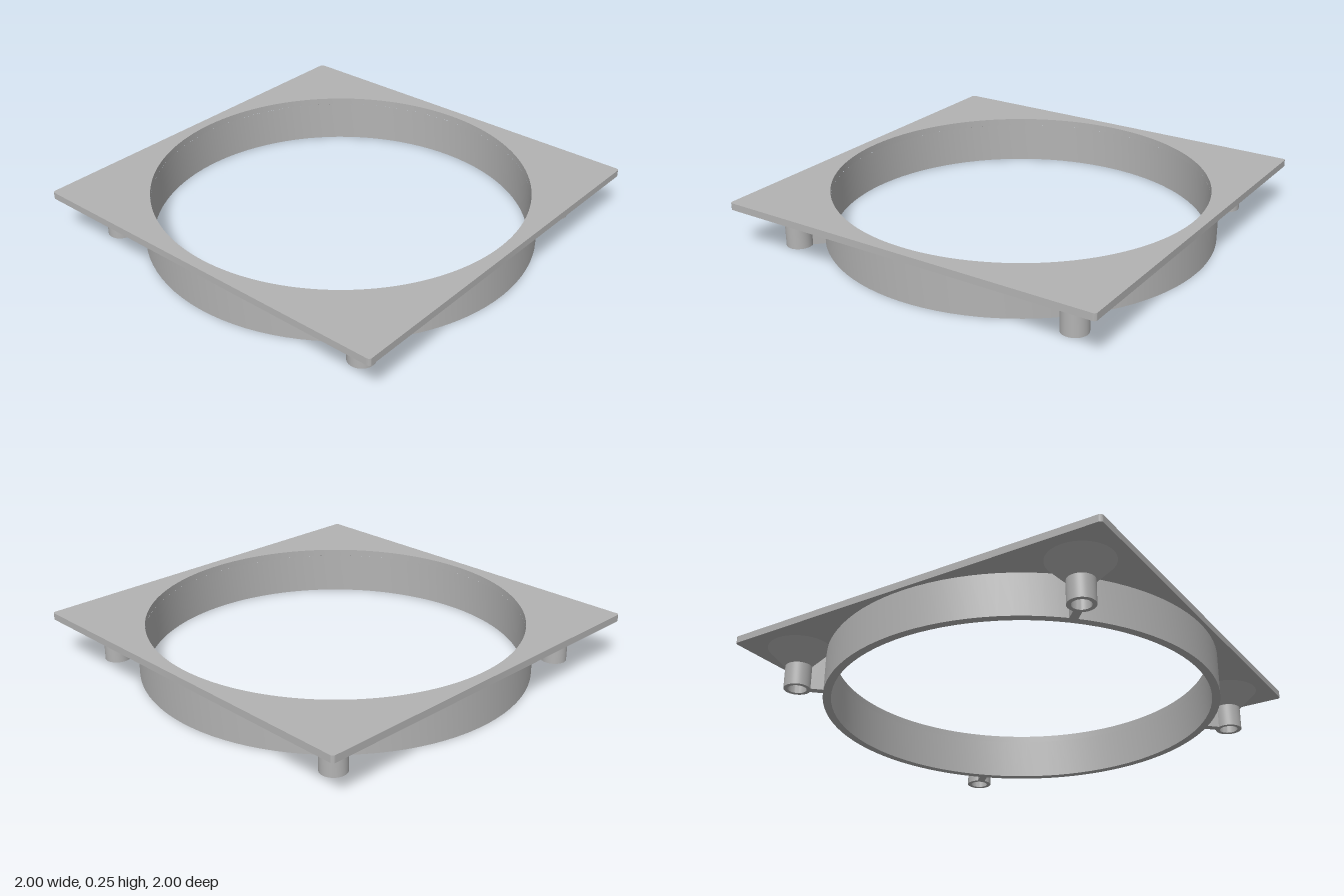
import * as THREE from 'three';
import { toCreasedNormals } from 'three/addons/utils/BufferGeometryUtils.js';

const PLATE_BOTTOM = 0.21, PLATE_TOP = 0.245;
const INNER = 0.94, OUTER = 0.98, POST = 0.78;

// Revolved profile with smooth walls and sharp rims
function turned(points, segments) {
  const profile = points.map(([r, y]) => new THREE.Vector2(r, y));
  return toCreasedNormals(new THREE.LatheGeometry(profile, segments), 0.5);
}

// Square with slightly rounded corners and a round opening
function plateGeometry() {
  const h = 1, r = 0.015, s = new THREE.Shape();
  s.absarc(h - r, h - r, r, 0, Math.PI / 2);
  s.absarc(-h + r, h - r, r, Math.PI / 2, Math.PI);
  s.absarc(-h + r, -h + r, r, Math.PI, Math.PI * 1.5);
  s.absarc(h - r, -h + r, r, Math.PI * 1.5, Math.PI * 2);
  s.closePath();
  const hole = new THREE.Path();
  hole.absarc(0, 0, INNER, 0, Math.PI * 2, true);
  s.holes.push(hole);
  const g = new THREE.ExtrudeGeometry(s, { depth: PLATE_TOP - PLATE_BOTTOM, bevelEnabled: false, curveSegments: 96 });
  g.rotateX(-Math.PI / 2).translate(0, PLATE_BOTTOM, 0);
  return toCreasedNormals(g, 0.5);
}

export function createModel() {
  const model = new THREE.Group();
  const grey = new THREE.MeshStandardMaterial({ color: 0xb3b3b3 });
  grey.name = 'grey';

  function add(parent, name, geometry) {
    const mesh = new THREE.Mesh(geometry, grey);
    mesh.name = name;
    parent.add(mesh);
    return mesh;
  }

  add(model, 'plate', plateGeometry());

  // Collar hanging under the opening
  add(model, 'collar', turned([
    [INNER, PLATE_BOTTOM], [INNER, 0], [OUTER, 0], [OUTER, PLATE_BOTTOM],
  ], 96));

  // Hollow screw post with a flared top
  const postGeometry = turned([
    [0, PLATE_BOTTOM], [0.045, PLATE_BOTTOM], [0.045, 0],
    [0.065, 0], [0.065, 0.115], [0.157, PLATE_BOTTOM],
  ], 40);

  // Web joining post and collar, laid along the diagonal
  const webGeometry = new THREE.BoxGeometry(0.08, PLATE_BOTTOM, 0.04);
  webGeometry.translate(1.008, PLATE_BOTTOM / 2, 0);

  for (let i = 0; i < 4; i++) {
    const corner = new THREE.Group();
    corner.name = 'cornerPost' + (i + 1);
    corner.rotation.y = Math.PI / 4 + i * Math.PI / 2;
    add(corner, 'screwPost', postGeometry).position.x = POST * Math.SQRT2;
    add(corner, 'web', webGeometry);
    model.add(corner);
  }
  return model;
}
